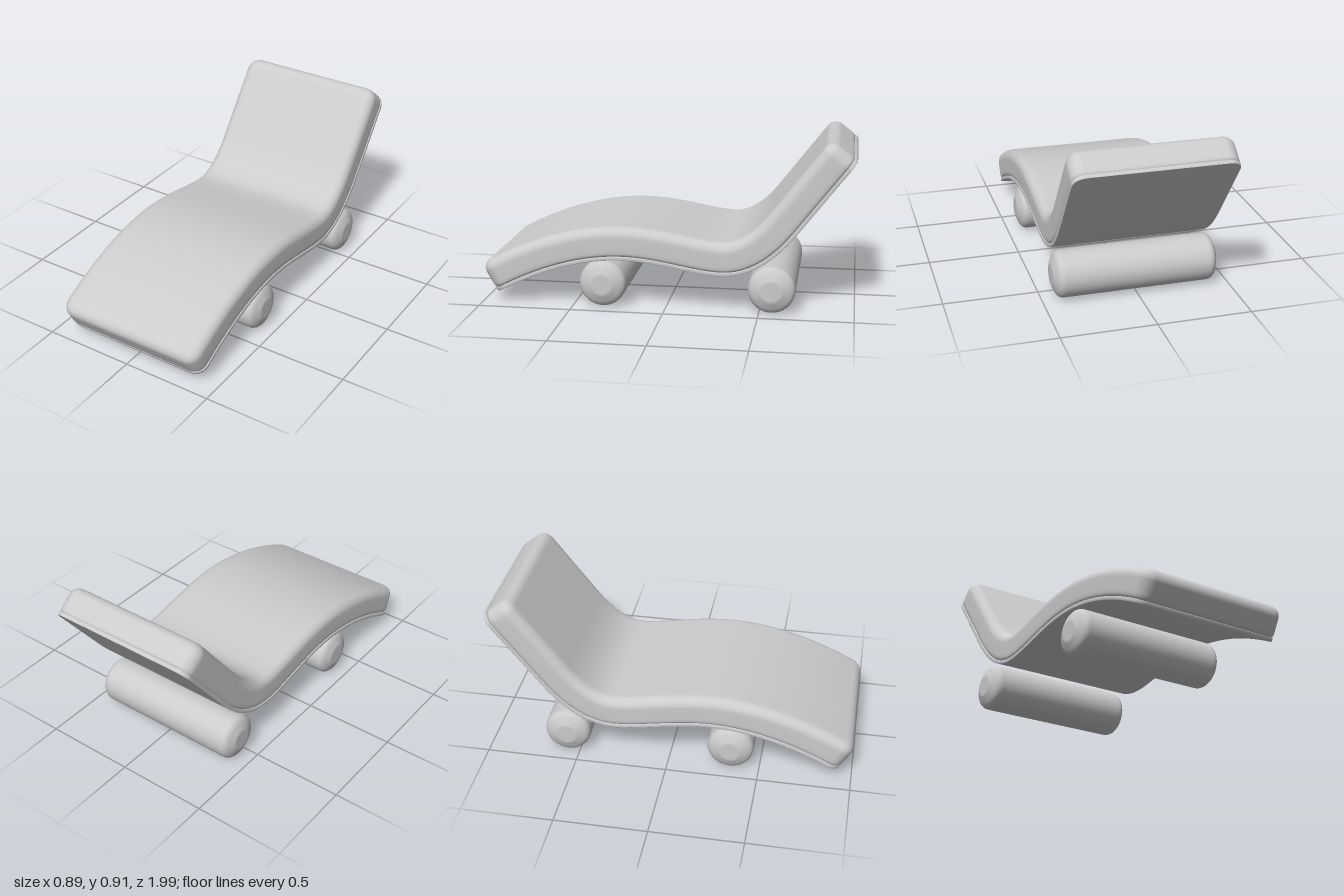
import * as THREE from 'three';

const material = new THREE.MeshStandardMaterial({ color: 0xcccccc });
const HALF_WIDTH = 0.427, CORNER = 0.07, THICKNESS = 0.176;

// Underside of the lounger in (z, y), from foot end to head end
function makeSpine() {
  const v = (z, y) => new THREE.Vector2(z, y);
  const path = new THREE.CurvePath();
  path.add(new THREE.CubicBezierCurve(v(0.93, 0.05), v(0.73, 0.165), v(0.48, 0.262), v(0.235, 0.262)));
  path.add(new THREE.CubicBezierCurve(v(0.235, 0.262), v(0.03, 0.262), v(-0.15, 0.197), v(-0.3, 0.197)));
  path.add(new THREE.CubicBezierCurve(v(-0.3, 0.197), v(-0.44, 0.197), v(-0.57, 0.276), v(-0.69, 0.431)));
  path.add(new THREE.LineCurve(v(-0.69, 0.431), v(-0.995, 0.826)));
  return path;
}

// Rounded rectangle in (x, distance along spine), counterclockwise from above
function outline(length, inset) {
  const w = HALF_WIDTH - inset, r = CORNER - inset, steps = 8, sideSteps = 64;
  const points = [];
  const corner = (cx, cu, start) => {
    for (let i = 0; i <= steps; i++) {
      const a = start + (i / steps) * Math.PI / 2;
      points.push([cx + r * Math.cos(a), cu + r * Math.sin(a)]);
    }
  };
  const side = (x, from, to) => {
    for (let i = 1; i < sideSteps; i++) points.push([x, from + (to - from) * i / sideSteps]);
  };
  const near = CORNER, far = length - CORNER;
  corner(w - r, near, -Math.PI / 2);
  side(w, near, far);
  corner(w - r, far, 0);
  corner(-w + r, far, Math.PI / 2);
  side(-w, far, near);
  corner(-w + r, near, Math.PI);
  return points;
}

// Stack of outlines bent along the spine; each ring is [x scale, inset, height]
function bentSlab(name, spine, rings) {
  const length = spine.getLength(), positions = [], index = [];
  let count = 0;
  for (const [scale, inset, height] of rings) {
    const loop = outline(length, inset);
    count = loop.length;
    for (const [x, u] of loop) {
      const t = THREE.MathUtils.clamp(u / length, 0, 1);
      const p = spine.getPoint(t), d = spine.getTangent(t);
      positions.push(x * scale, p.y - d.x * height, p.x + d.y * height);
    }
  }
  for (let j = 0; j < rings.length - 1; j++) {
    for (let i = 0; i < count; i++) {
      const k = (i + 1) % count, a = j * count, b = a + count;
      index.push(a + i, a + k, b + k, a + i, b + k, b + i);
    }
  }
  const geometry = new THREE.BufferGeometry();
  geometry.setAttribute('position', new THREE.Float32BufferAttribute(positions, 3));
  geometry.setIndex(index);
  geometry.computeVertexNormals();
  const mesh = new THREE.Mesh(geometry, material);
  mesh.name = name;
  return mesh;
}

function makeCushion(spine) {
  const r = 0.055;
  const rings = [[1, 0.014, 0.018], [1, 0.005, 0.024], [1, 0.001, 0.034], [1, 0, 0.05], [1, 0, 0.09]];
  // Soft upper edge
  for (let i = 0; i <= 8; i++) {
    const a = (i / 8) * Math.PI / 2;
    rings.push([1, r * (1 - Math.cos(a)), THICKNESS - r + r * Math.sin(a)]);
  }
  // Top surface closing on the centre line
  for (const s of [0.95, 0.7, 0.35, 0]) rings.push([s, r, THICKNESS]);
  return bentSlab('cushion', spine, rings);
}

function makeBoard(spine) {
  // Repeated rings keep the edges crisp
  return bentSlab('baseBoard', spine, [
    [0, 0.004, 0], [0.5, 0.004, 0], [1, 0.004, 0], [1, 0.004, 0],
    [1, 0.001, 0.004], [1, 0.001, 0.017], [1, 0.004, 0.02], [1, 0.004, 0.02], [1, 0.03, 0.02],
  ]);
}

// Round bolster lying across the lounger, with softly domed ends
function makeRoller(name, z) {
  const half = [[0.126, 0.385], [0.1245, 0.4], [0.119, 0.412], [0.109, 0.422], [0.095, 0.429],
    [0.065, 0.442], [0.057, 0.4445], [0.048, 0.445], [0, 0.445]];
  const profile = [
    ...half.slice().reverse().map(([r, x]) => new THREE.Vector2(r, -x)),
    ...half.map(([r, x]) => new THREE.Vector2(r, x)),
  ];
  const mesh = new THREE.Mesh(new THREE.LatheGeometry(profile, 48), material);
  mesh.name = name;
  mesh.rotation.z = Math.PI / 2;
  mesh.position.set(0, 0.128, z);
  return mesh;
}

export function createModel() {
  const group = new THREE.Group();
  group.name = 'loungeChair';
  const spine = makeSpine();
  group.add(makeCushion(spine), makeBoard(spine));
  group.add(makeRoller('frontRoller', 0.34), makeRoller('backRoller', -0.565));
  return group;
}
